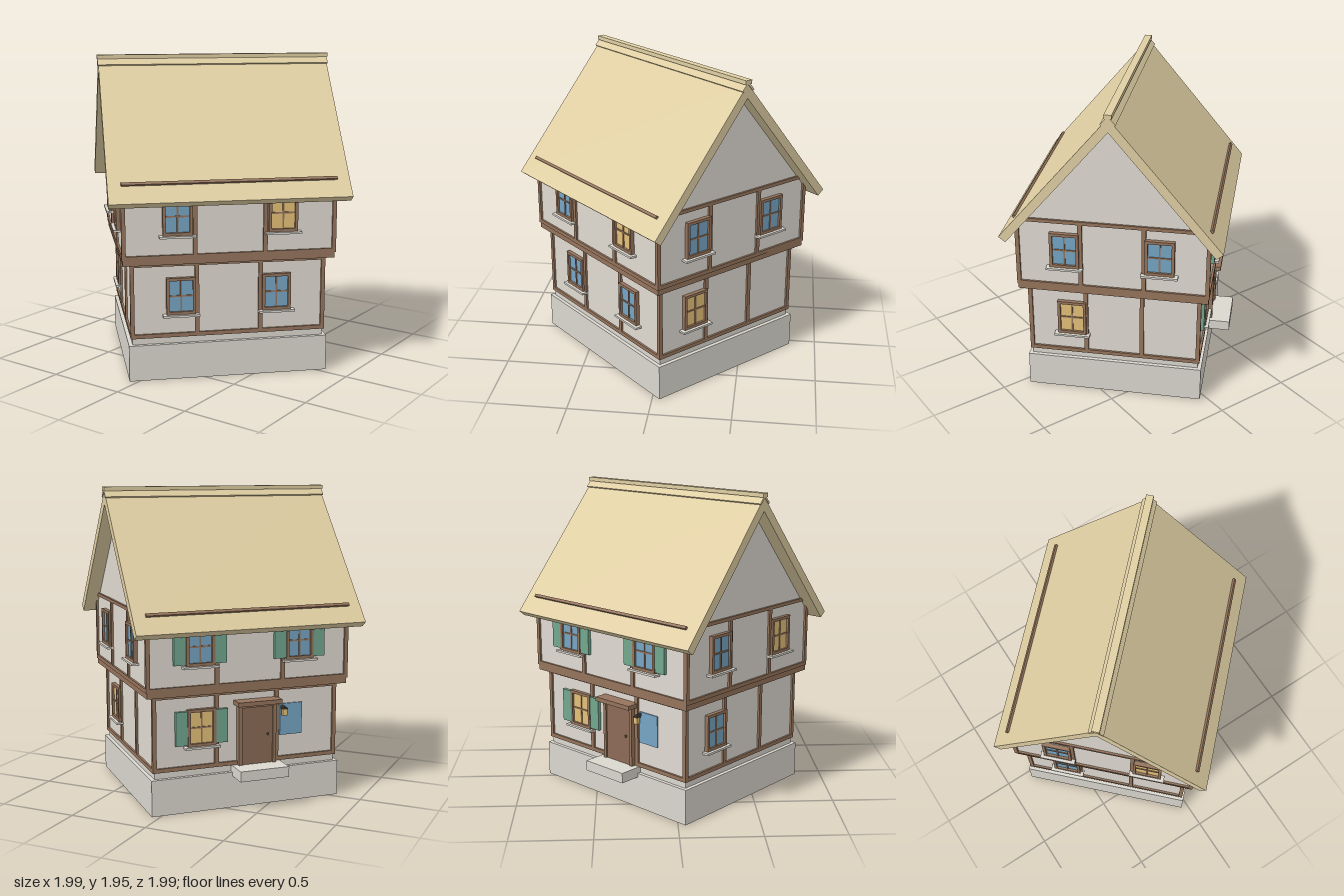
import * as THREE from 'three';

const mat = (name, color, extra = {}) => {
  const m = new THREE.MeshStandardMaterial({ color, ...extra });
  m.name = name;
  return m;
};

export function createModel() {
  const M = {
    plaster: mat('plaster', 0xe0dad1),
    stone: mat('stone', 0xdbd7cf),
    timber: mat('timber', 0x95745c),
    thatch: mat('roof straw', 0xe0cfa3),
    blue: mat('blue glass', 0x76a5c4),
    warm: mat('lit glass', 0xe4c078),
    green: mat('shutter green', 0x71a78f),
    door: mat('door wood', 0x8c6b56),
    metal: mat('dark metal', 0x55493f),
  };

  const house = new THREE.Group();
  house.name = 'house';

  const add = (parent, name, geo, m) => {
    const mesh = new THREE.Mesh(geo, m);
    mesh.name = name;
    parent.add(mesh);
    return mesh;
  };
  // Box given by its centre x, bottom and top y, back and front z
  const box = (parent, name, m, x, w, y0, y1, z0, z1) => {
    const b = add(parent, name, new THREE.BoxGeometry(w, y1 - y0, z1 - z0), m);
    b.position.set(x, (y0 + y1) / 2, (z0 + z1) / 2);
    return b;
  };
  // Cross-section in z and y, drawn out along the ridge (x)
  const alongRidge = (name, m, points, half) => {
    const shape = new THREE.Shape(points.map(([z, y]) => new THREE.Vector2(-z, y)));
    const geo = new THREE.ExtrudeGeometry(shape, { depth: half * 2, bevelEnabled: false });
    geo.translate(0, 0, -half);
    geo.rotateY(Math.PI / 2);
    return add(house, name, geo, m);
  };

  // Storeys: half length, half depth, bottom and top
  const lower = { u: 0.594, v: 0.53, y0: 0.265, y1: 0.735 };
  const upper = { u: 0.645, v: 0.58, y0: 0.77, y1: 1.23 };
  const OUT = 0.013;

  // Base and wall masses
  box(house, 'foundation', M.stone, 0, 1.238, 0, 0.225, -0.555, 0.555);
  box(house, 'plinth', M.stone, 0, 1.19, 0.225, 0.265, -0.532, 0.532);
  box(house, 'lowerWalls', M.plaster, 0, lower.u * 2, 0.265, 0.735, -lower.v, lower.v);
  box(house, 'jettyBeam', M.timber, 0, 1.304, 0.735, 0.77, -0.588, 0.588);
  box(house, 'upperWalls', M.plaster, 0, upper.u * 2, 0.77, 1.22, -upper.v, upper.v);
  alongRidge('gableWalls', M.plaster, [[-0.55, 1.2], [0.55, 1.2], [0, 1.855]], upper.u);

  // Roof with ridge covering and eave battens
  alongRidge('roof', M.thatch, [
    [0, 1.93], [-0.672, 1.13], [-0.63, 1.097], [0, 1.845], [0.63, 1.097], [0.672, 1.13],
  ], 0.735);
  alongRidge('ridgeCover', M.thatch, [
    [0, 1.943], [-0.045, 1.893], [-0.036, 1.885], [0, 1.925], [0.036, 1.885], [0.045, 1.893],
  ], 0.74);
  box(house, 'ridgeCap', M.thatch, 0, 1.486, 1.928, 1.953, -0.023, 0.023);
  for (const s of [-1, 1]) {
    const guard = box(house, 'roofBatten', M.timber, 0, 1.31, 1.224, 1.242, s * 0.594 - 0.009, s * 0.594 + 0.009);
    guard.rotation.x = s * Math.atan(0.8 / 0.672);
  }

  // Window group: glass, frame, cross bars, sill and optional shutters
  const addWindow = (face, x, y, d, glass, shutters) => {
    const w = new THREE.Group();
    w.name = 'window';
    w.position.set(x, y, d);
    face.add(w);
    box(w, 'glass', glass, 0, 0.15, -0.1, 0.1, 0, 0.012);
    for (const s of [-1, 1]) {
      box(w, 'frameSide', M.timber, s * 0.081, 0.018, -0.115, 0.115, 0, 0.026);
      box(w, 'frameRail', M.timber, 0, 0.144, s * 0.106 - 0.009, s * 0.106 + 0.009, 0, 0.026);
      if (shutters) box(w, 'shutter', M.green, s * 0.129, 0.075, -0.105, 0.105, 0, 0.022);
    }
    box(w, 'mullion', M.timber, 0, 0.01, -0.1, 0.1, 0, 0.017);
    box(w, 'crossBar', M.timber, 0, 0.15, -0.005, 0.005, 0, 0.017);
    box(w, 'sill', M.stone, 0, 0.225, -0.128, -0.115, 0, 0.045);
  };

  // Timber frame of one storey on one face
  const addFrame = (face, half, d, y0, y1) => {
    const end = half + OUT;
    box(face, 'bottomRail', M.timber, 0, end * 2, y0, y0 + 0.025, d - 0.01, d + OUT);
    box(face, 'topRail', M.timber, 0, half * 2 + 0.01, y1 - 0.022, y1, d - 0.01, d + OUT);
    for (const s of [-1, 1]) {
      box(face, 'cornerPost', M.timber, s * (end - 0.0125), 0.025, y0, y1 - 0.01, d - 0.01, d + OUT);
      box(face, 'post', M.timber, s * half / 3, 0.026, y0, y1, d - 0.01, d + OUT);
    }
  };

  // The four faces: turn, upper windows and lower windows as [side, glass]
  const B = M.blue, Y = M.warm;
  const faces = [
    { name: 'eaveSide', turn: 0, up: [[-1, B], [1, Y]], low: [[-1, B], [1, B]] },
    { name: 'gableSide', turn: Math.PI / 2, up: [[-1, B], [1, B]], low: [[-1, Y]], gable: true },
    { name: 'entranceSide', turn: Math.PI, up: [[-1, B], [1, B]], low: [[-1, Y]], shutters: true },
    { name: 'farGableSide', turn: -Math.PI / 2, up: [[-1, B], [1, Y]], low: [[-1, B]], gable: true },
  ];
  const sides = {};
  for (const f of faces) {
    const g = new THREE.Group();
    g.name = f.name;
    g.rotation.y = f.turn;
    house.add(g);
    sides[f.name] = g;
    for (const [s, y, list] of [[lower, 0.525, f.low], [upper, 1.03, f.up]]) {
      const half = f.gable ? s.v : s.u;
      const d = f.gable ? s.u : s.v;
      const top = s === upper && !f.gable ? 1.15 : s.y1;
      addFrame(g, half, d, s.y0, top);
      for (const [side, glass] of list) addWindow(g, side * half / 2, y, d, glass, f.shutters);
    }
  }

  // Entrance: door, surround, hood, step, lamp and plain pane
  const e = sides.entranceSide, dx = 0.06, z = lower.v;
  box(e, 'step', M.stone, dx, 0.32, 0.2, 0.265, 0.5, 0.69);
  box(e, 'door', M.door, dx, 0.21, 0.265, 0.63, z, z + 0.03);
  for (const s of [-1, 1]) box(e, 'doorPost', M.timber, dx + s * 0.113, 0.022, 0.265, 0.645, z, z + 0.04);
  box(e, 'doorLintel', M.timber, dx, 0.21, 0.625, 0.645, z, z + 0.04);
  box(e, 'doorHood', M.timber, dx, 0.29, 0.645, 0.672, z, z + 0.085);
  const knob = add(e, 'doorKnob', new THREE.SphereGeometry(0.008, 10, 8), M.metal);
  knob.position.set(dx + 0.07, 0.45, z + 0.035);
  box(e, 'plainPane', M.blue, 0.297, 0.15, 0.425, 0.625, z, z + 0.008);
  box(e, 'lampArm', M.metal, 0.235, 0.012, 0.605, 0.617, z, z + 0.05);
  box(e, 'lamp', M.warm, 0.235, 0.028, 0.56, 0.6, z + 0.03, z + 0.058);
  box(e, 'lampCap', M.metal, 0.235, 0.034, 0.6, 0.607, z + 0.027, z + 0.061);

  // The house stands diagonally
  house.rotation.y = Math.PI / 4;
  const model = new THREE.Group();
  model.name = 'timberFramedHouse';
  model.add(house);
  return model;
}
